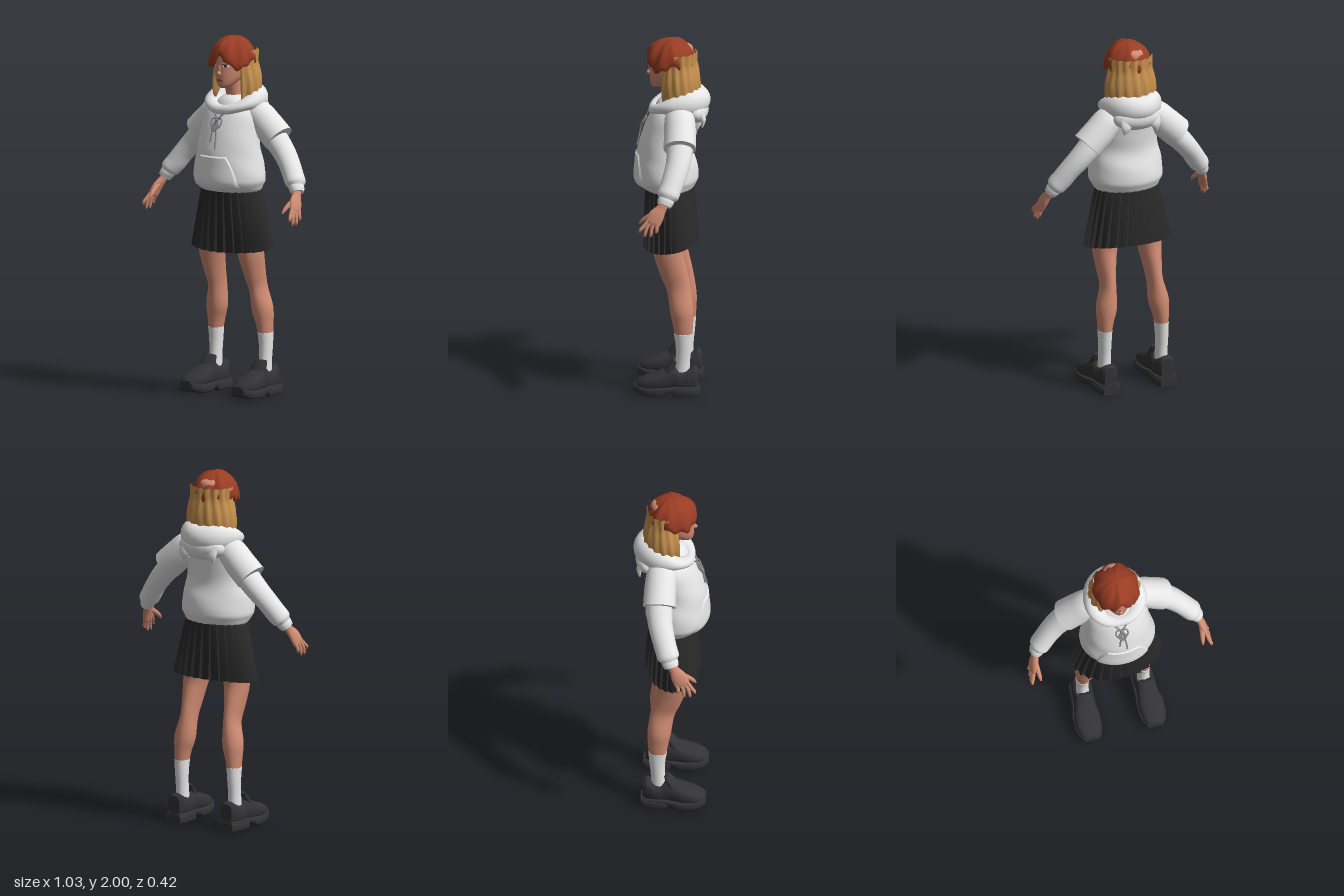
import * as THREE from 'three';
import { toCreasedNormals } from 'three/addons/utils/BufferGeometryUtils.js';

const { sin, cos, PI, abs, sign, sqrt, max, min } = Math;
const V = (x, y, z) => new THREE.Vector3(x, y, z);
const range = (n, f) => Array.from({ length: n }, (_, i) => f(i));

// Skin a list of closed rings; each ring runs counter-clockwise seen from the last ring
function skin(rows, loop = false) {
  const n = rows[0].length, m = rows.length, index = [];
  for (let j = 0; j < (loop ? m : m - 1); j++) for (let i = 0; i < n; i++) {
    const k = (i + 1) % n, r = j * n, s = ((j + 1) % m) * n;
    index.push(r + i, r + k, s + k, r + i, s + k, s + i);
  }
  const g = new THREE.BufferGeometry().setFromPoints(rows.flat());
  g.setIndex(index);
  g.computeVertexNormals();
  return g;
}

// Limb through points [x, y, z, depthRadius, sideRadius], with closed ends
function limb(pts, steps = 20, seg = 16) {
  const path = new THREE.CatmullRomCurve3(pts.map(p => V(p[0], p[1], p[2])));
  const size = new THREE.CatmullRomCurve3(pts.map(p => V(p[3], p[4] ?? p[3], 0)));
  const ring = (t, k) => {
    const c = path.getPoint(t), T = path.getTangent(t), r = size.getPoint(t);
    const A = V(0, 0, 1).addScaledVector(T, -T.z).normalize(), B = T.clone().cross(A);
    return range(seg, i => {
      const a = i / seg * 2 * PI;
      return c.clone().addScaledVector(A, k * r.x * cos(a)).addScaledVector(B, k * r.y * sin(a));
    });
  };
  const body = range(steps + 1, i => ring(i / steps, 1));
  return skin([ring(0, 0), ring(0, 1), ...body, ring(1, 1), ring(1, 0)]);
}

// Smooth lookup in a profile of [y, halfWidth, frontZ, backZ]
function at(prof, y) {
  let i = 0;
  while (i < prof.length - 2 && y > prof[i + 1][0]) i++;
  const slope = (k, c) => {
    const a = prof[max(k - 1, 0)], b = prof[min(k + 1, prof.length - 1)];
    return (b[c] - a[c]) / (b[0] - a[0]);
  };
  const p = prof[i], q = prof[i + 1], h = q[0] - p[0], t = min(max((y - p[0]) / h, 0), 1);
  const f = c => (1 + 2 * t) * (1 - t) ** 2 * p[c] + t * (1 - t) ** 2 * h * slope(i, c)
    + t * t * (3 - 2 * t) * q[c] + t * t * (t - 1) * h * slope(i + 1, c);
  return [f(1), (f(2) + f(3)) / 2, (f(2) - f(3)) / 2];
}
function body(prof, rows, seg, ripple = () => 0) {
  const y0 = prof[0][0], y1 = prof[prof.length - 1][0];
  return skin(range(rows + 1, j => range(seg, i => {
    const y = y0 + (y1 - y0) * j / rows, a = i / seg * 2 * PI, [rx, zc, rz] = at(prof, y);
    const k = 1 + ripple(a, y);
    return V(rx * k * sin(a), y, zc + rz * k * cos(a));
  })));
}
function frontZ(prof, x, y) {
  const [rx, zc, rz] = at(prof, y);
  return zc + rz * sqrt(max(0, 1 - (x / rx) ** 2));
}
// Thin oval plate laid on the front of a profiled body
function plate(prof, cx, cy, w, h, off, tilt = 0) {
  const g = new THREE.CircleGeometry(1, 20), p = g.attributes.position;
  for (let i = 0; i < p.count; i++) {
    const x = cx + p.getX(i) * w, y = cy + p.getY(i) * h + tilt * p.getX(i) * w;
    p.setXYZ(i, x, y, frontZ(prof, x, y) + off);
  }
  g.computeVertexNormals();
  return g;
}

const TORSO = [[1.135, .17, .14, -.1], [1.15, .185, .17, -.115], [1.17, .195, .195, -.125], [1.2, .21, .21, -.138],
  [1.28, .206, .206, -.13], [1.38, .186, .195, -.105], [1.48, .176, .165, -.115], [1.56, .165, .13, -.125],
  [1.61, .13, .1, -.12], [1.65, .075, .075, -.08], [1.67, .04, .04, -.04]];
const HEAD = [[1.713, .012, .11, .08], [1.722, .034, .122, .04], [1.75, .058, .128, -.02], [1.78, .073, .13, -.07],
  [1.82, .082, .131, -.1], [1.86, .087, .131, -.11], [1.92, .086, .12, -.11], [1.96, .06, .08, -.09], [1.975, .01, .01, -.01]];

export function createModel() {
  const model = new THREE.Group();
  const mat = (name, color) => Object.assign(new THREE.MeshStandardMaterial({ color }), { name });
  const skinTone = mat('skin', 0xd08b72), red = mat('red hair', 0x9a3c24), blonde = mat('blonde hair', 0xc8924f);
  const white = mat('white cloth', 0xe6e6e6), black = mat('black cloth', 0x2a2a2a), leather = mat('shoe leather', 0x333335);
  const grey = mat('grey cord', 0x8c8c90), lip = mat('lips', 0xa04c42);
  black.side = THREE.DoubleSide;
  const add = (name, geo, material) => {
    const m = new THREE.Mesh(geo, material);
    m.name = name;
    model.add(m);
    return m;
  };
  const ball = (name, material, p, s) => {
    const m = add(name, new THREE.SphereGeometry(1, 24, 16), material);
    m.position.set(...p);
    m.scale.set(...s);
    return m;
  };

  // Head, neck and face
  add('head', body(HEAD, 32, 36), skinTone);
  add('neck', limb([[0, 1.6, -.01, .05, .05], [0, 1.68, 0, .045, .044], [0, 1.77, .02, .05, .046]]), skinTone);
  ball('nose', skinTone, [0, 1.797, .131], [.012, .014, .018]);
  ball('noseBridge', skinTone, [0, 1.822, .127], [.008, .026, .011]);
  for (const s of [-1, 1]) {
    add('eye', plate(HEAD, s * .037, 1.84, .017, .008, .003), white);
    add('iris', plate(HEAD, s * .037, 1.84, .007, .0075, .005), black);
    add('upperLash', plate(HEAD, s * .037, 1.848, .019, .0025, .006, s * .08), black);
    add('eyebrow', plate(HEAD, s * .038, 1.867, .022, .004, .005, s * .15), red);
  }
  add('lips', plate(HEAD, 0, 1.758, .02, .007, .004), lip);

  // Red crown with lobed locks and a parted fringe
  const crown = range(23, j => range(72, i => {
    const v = 1 - j / 22, a = i / 72 * 2 * PI, f = cos(a);
    const edge = 1.865 + .035 * max(0, f) ** 12 - .035 * max(0, f) * sin(a) ** 2 * 2 + .01 * cos(11 * a);
    const bend = min(v / .85, 1) * PI / 2, tuck = v > .85 ? 1 - .25 * (v - .85) / .15 : 1;
    const lobe = 1 + .045 * v * cos(9 * a + 2.5 * v + .6 * sin(2 * a)) - .05 * v * max(0, f) ** 40;
    const r = sin(bend) * tuck * lobe;
    const y = edge + (1.995 - edge) * cos(bend) - (v > .85 ? .012 : 0);
    return V(.128 * r * sin(a), y + .005 * sin(5 * a) * sin(bend), .01 + .137 * r * f);
  }));
  add('redCrownHair', skin(crown), red);

  // Blonde hair: an open C-shaped curtain round the back and sides
  const curtain = range(15, j => range(96, i => {
    const v = j / 14, out = i < 48, k = (out ? i : 95 - i) / 47, a = .72 + k * (2 * PI - 1.44);
    const front = abs(cos(a / 2)), low = 1.672 - .02 * front + .012 * cos(13 * a);
    const y = low + (1.92 - low) * v, thick = .036 * min(1, v * 5 + .08);
    const wave = .006 * cos(16 * a + 3 * v), flare = .85 + .15 * sin(PI * min(1, v * 1.1 + .2));
    const r = (out ? 0 : -thick) + wave;
    return V((.143 * flare + r) * sin(a), y, -.03 + (.116 * flare + r) * cos(a));
  }));
  add('blondeHair', skin(curtain), blonde);

  // Hoodie body with soft folds, hem closed underneath
  add('hoodieBody', body(TORSO, 50, 64, (a, y) => .012 * sin(3 * a + 34 * y) * max(0, 1 - abs(y - 1.32) / .18)), white);
  const base = add('hoodieBase', new THREE.CircleGeometry(.17, 32), white);
  base.rotation.x = PI / 2;
  base.position.set(0, 1.136, .02);
  base.scale.y = .7;

  // Front pouch pocket, its border sunk into the hoodie
  const pocket = new THREE.PlaneGeometry(2, 1, 24, 16), pp = pocket.attributes.position;
  for (let i = 0; i < pp.count; i++) {
    const u = pp.getX(i), v = pp.getY(i) + .5, y = 1.16 + .19 * v;
    const x = u * (.085 + .068 * (1 - v ** 2.2));
    const rim = abs(u) > .99 || v > .99 || v < .01;
    pp.setXYZ(i, x, y, frontZ(TORSO, x, y) + (rim ? -.004 : .009));
  }
  add('pouchPocket', toCreasedNormals(pocket, .5), white);

  // Hood lying round the neck, deep at the back
  const roll = range(64, j => {
    const t = -j / 64 * 2 * PI, b = (1 - cos(t)) / 2, f = 1 - b;
    const w = .03 + .035 * sqrt(b), h = .026 + .052 * b, R = cos(t) > 0 ? .105 : .14;
    return range(20, i => {
      const a = i / 20 * 2 * PI, c = w * cos(a), y = 1.645 - .055 * f ** 3 + h * sin(a) * (1 + .12 * cos(3 * t));
      return V((.12 + c) * sin(t), y, (R + c) * cos(t));
    });
  });
  add('hoodCollar', skin(roll, true), white);
  ball('hoodDrape', white, [0, 1.59, -.125], [.145, .07, .07]);
  for (const s of [-1, 1]) {
    const ear = add('hoodEar', limb([[s * .08, 1.6, -.15, .025, .045], [s * .09, 1.55, -.168, .016, .03], [s * .1, 1.51, -.165, .003, .004]]), white);
    ear.name = s > 0 ? 'leftHoodEar' : 'rightHoodEar';
  }

  // Drawstrings tied in a bow
  const cord = (name, pts) => add(name, new THREE.TubeGeometry(new THREE.CatmullRomCurve3(
    pts.map(([x, y, o = .008]) => V(x, y, frontZ(TORSO, x, y) + o))), 28, .0045, 6), grey);
  for (const s of [-1, 1]) {
    cord('neckCord', [[s * .045, 1.6, .02], [s * .028, 1.575, .014], [0, 1.545, .012]]);
    cord('bowLoop', [[0, 1.54], [s * .025, 1.55, .014], [s * .034, 1.525, .016], [s * .02, 1.5, .014], [0, 1.535]]);
    cord('innerLoop', [[0, 1.54, .012], [s * .018, 1.515, .018], [s * .008, 1.48, .018], [-s * .006, 1.5, .016]]);
    cord('cordTail', [[0, 1.53, .012], [s * .012, 1.48, .014], [s * .018, 1.43], [s * .02, s > 0 ? 1.385 : 1.42]]);
  }
  ball('bowKnot', grey, [0, 1.538, frontZ(TORSO, 0, 1.538) + .012], [.011, .011, .008]);

  // Pleated skirt with knife pleats opening towards the hem
  const pleats = 26, per = 6;
  const skirt = range(13, j => range(pleats * per, i => {
    const v = 1 - j / 12, a = i / (pleats * per) * 2 * PI, saw = (i % per) / (per - 1);
    const k = 1 + (saw - .7) * (.02 + .07 * v), hem = .82 - .018 * cos(a) + .008 * saw;
    return V((.178 + .075 * v ** .9) * k * sin(a), 1.16 + (hem - 1.16) * v, .02 - .008 * v + (.135 + .015 * v) * k * cos(a));
  }));
  add('pleatedSkirt', toCreasedNormals(skin(skirt), .5), black);

  for (const s of [-1, 1]) {
    const side = s > 0 ? 'left' : 'right';
    const part = (name, pts, m, steps, seg) => add(side + name, limb(pts.map(([x, ...r]) => [s * x, ...r]), steps, seg), m);

    // Arm: wide short oversleeve, long sleeve and gathered cuff
    part('Oversleeve', [[.08, 1.575, -.035, .07, .055], [.14, 1.56, -.042, .085, .08], [.2, 1.505, -.048, .088, .085], [.272, 1.438, -.05, .09, .086]], white, 20, 24);
    part('Sleeve', [[.2, 1.49, -.05, .068], [.265, 1.42, -.05, .072, .064], [.32, 1.36, -.043, .068, .06], [.37, 1.3, -.025, .064, .056],
      [.405, 1.25, -.008, .062, .056], [.432, 1.215, .006, .062, .054], [.446, 1.193, .014, .042, .038]], white, 28, 20);
    part('Cuff', [[.435, 1.205, .01, .046, .042], [.449, 1.185, .018, .046, .04], [.46, 1.165, .026, .04, .034]], white, 10, 20);

    // Hand: palm, four fingers and thumb
    part('Palm', [[.452, 1.185, .02, .026, .022], [.464, 1.15, .04, .029, .02], [.48, 1.11, .068, .044, .019], [.49, 1.075, .085, .043, .016], [.493, 1.06, .092, .03, .01]], skinTone, 16);
    [[.125, .158, 1.022], [.103, .132, .996], [.08, .1, .996], [.058, .068, 1.018]].forEach(([z0, z1, y]) =>
      part('Finger', [[.488, 1.085, z0 - .012, .011], [.5, 1.05, (z0 + z1) / 2, .0105], [.506, y + .015, z1 - .004, .009], [.504, y, z1, .004]], skinTone, 10, 10));
    part('Thumb', [[.47, 1.13, .07, .016], [.465, 1.105, .112, .014], [.46, 1.08, .145, .011], [.458, 1.062, .16, .005]], skinTone, 10, 10);

    // Leg and sock
    part('Leg', [[.105, 1, .02, .1, .085], [.115, .92, .025, .095, .083], [.133, .8, .02, .082, .069], [.138, .7, -.006, .076, .053], [.141, .6, -.037, .067, .042],
      [.157, .48, -.055, .065, .057], [.167, .4, -.062, .056, .045], [.172, .33, -.065, .047, .035]], skinTone, 36, 24);
    part('Sock', [[.171, .35, -.064, .052, .039], [.172, .28, -.066, .044, .036], [.172, .2, -.062, .04, .034], [.172, .1, -.055, .045, .036]], white, 16, 24);

    // Shoe pieces: rings along z of [z, centreX, halfWidth, bottomY, topY], squareness p
    const shoe = (name, rows, p) => {
      const ring = ([z, cx, w, b, t], k = 1) => range(24, i => {
        const a = i / 24 * 2 * PI, c = cos(a), d = sin(a), m = (b + t) / 2;
        return V(s * cx + k * w * sign(c) * abs(c) ** p, m + k * (t - m) * sign(d) * abs(d) ** p, z);
      });
      const all = rows.map(r => ring(r));
      add(side + name, toCreasedNormals(skin([ring(rows[0], 0), ...all, ring(rows[rows.length - 1], 0)]), .7), leather);
    };
    shoe('ShoeUpper', [[-.145, .172, .036, .03, .155], [-.125, .172, .05, .03, .17], [-.08, .173, .055, .03, .145], [-.045, .174, .056, .03, .14],
      [-.02, .175, .054, .03, .165], [.03, .178, .062, .03, .155], [.08, .181, .07, .03, .132], [.14, .182, .066, .03, .112], [.18, .181, .052, .035, .092], [.197, .18, .034, .04, .075]], .75);
    shoe('ShoeSole', [[-.152, .172, .04, .03, .06], [-.12, .172, .06, .03, .058], [-.03, .175, .062, .035, .06], [.02, .178, .07, .022, .056],
      [.05, .18, .077, .002, .056], [.13, .181, .075, .004, .056], [.175, .18, .063, .014, .062], [.203, .179, .042, .03, .068]], .35);
    shoe('ShoeHeel', [[-.157, .172, .046, 0, .05], [-.13, .172, .064, 0, .05], [-.02, .175, .066, 0, .05], [-.005, .176, .06, .01, .05]], .3);
    part('ShoeTongue', [[.178, .1, .04, .03, .058], [.176, .16, .003, .024, .05], [.174, .198, -.018, .012, .042]], leather, 10);
  }
  return model;
}
